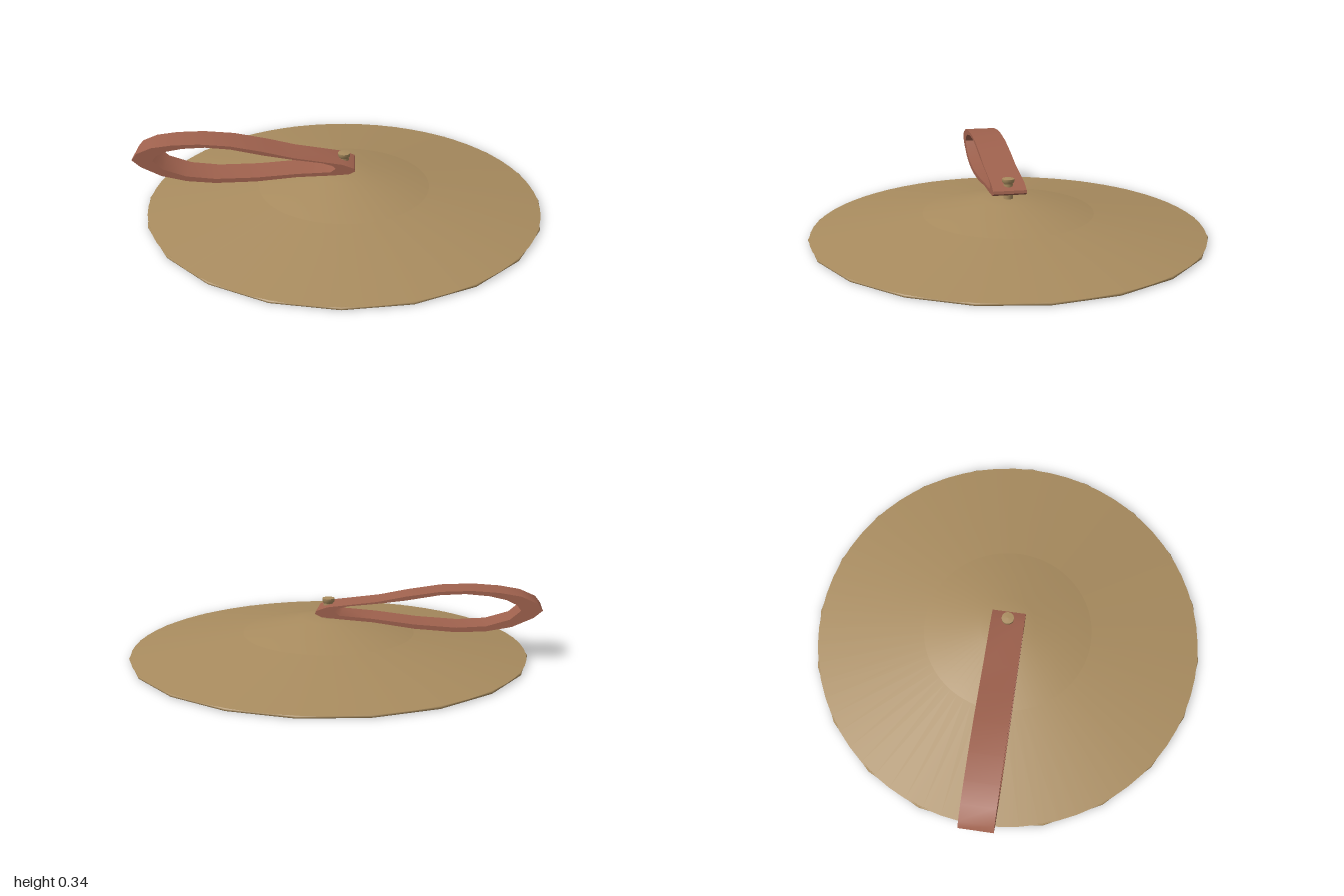
import * as THREE from 'three';
import { toCreasedNormals } from 'three/addons/utils/BufferGeometryUtils.js';

const CENTRE_X = 0.025;
const STRAP_WIDTH = 0.165;

const vectors = (pairs) => pairs.map(([x, y]) => new THREE.Vector2(x, y));

export function createModel() {
  const model = new THREE.Group();
  model.name = 'cymbal';
  const brass = new THREE.MeshStandardMaterial({ color: 0xa98c5f, side: THREE.DoubleSide });
  brass.name = 'brass';
  const leather = new THREE.MeshStandardMaterial({ color: 0xa0624e });
  leather.name = 'leather';

  // Turned brass piece on the cymbal's axis
  function turned(name, profile, sides, parent) {
    const mesh = new THREE.Mesh(new THREE.LatheGeometry(vectors(profile), sides), brass);
    mesh.name = name;
    mesh.position.x = CENTRE_X;
    parent.add(mesh);
  }

  // Plate: a thin hollow sheet, open below
  const plate = new THREE.Group();
  plate.name = 'plate';
  model.add(plate);
  turned('bow', [[0.965, 0.013], [0.42, 0.098]], 64, plate);
  turned('bell', [[0.42, 0.098], [0.137, 0.165], [0, 0.165]], 64, plate);

  // Coarse rounded bead whose corners show past the smooth edge
  const bead = new THREE.Mesh(new THREE.TorusGeometry(0.964, 0.007, 8, 20), brass);
  bead.name = 'rimBead';
  bead.rotation.x = Math.PI / 2;
  bead.position.set(CENTRE_X, 0.007, 0);
  plate.add(bead);

  // Stud holding the strap
  const stud = new THREE.Group();
  stud.name = 'stud';
  model.add(stud);
  turned('post', [[0.024, 0.16], [0.024, 0.24]], 20, stud);
  turned('head', [[0.018, 0.235], [0.03, 0.25], [0.03, 0.264]], 20, stud);
  turned('headTop', [[0.03, 0.264], [0, 0.266]], 20, stud);

  // Leather loop: side outline with a long opening, extruded across z
  const outline = new THREE.Shape(vectors([
    [-1, 0.254], [-0.975, 0.286], [-0.9, 0.318], [-0.8, 0.333], [-0.67, 0.339], [-0.52, 0.33],
    [-0.36, 0.302], [-0.22, 0.271], [0.02, 0.237], [0.076, 0.216], [0.08, 0.202], [0.05, 0.187],
    [-0.03, 0.18], [-0.2, 0.17], [-0.4, 0.145], [-0.6, 0.135], [-0.74, 0.144],
    [-0.86, 0.17], [-0.96, 0.218],
  ]));
  const opening = vectors([
    [-0.9, 0.25], [-0.88, 0.277], [-0.83, 0.3], [-0.75, 0.316], [-0.64, 0.323], [-0.52, 0.314],
    [-0.36, 0.283], [-0.22, 0.262], [-0.08, 0.245], [-0.03, 0.231], [-0.014, 0.216],
    [-0.04, 0.197], [-0.2, 0.187], [-0.4, 0.166], [-0.6, 0.157], [-0.74, 0.169], [-0.85, 0.205],
  ]);
  // The opening runs against the outline so its walls face inward
  outline.holes.push(new THREE.Path(opening.reverse()));
  const loop = new THREE.ExtrudeGeometry(outline, { depth: STRAP_WIDTH, bevelEnabled: false });
  loop.translate(0, 0, -STRAP_WIDTH / 2);
  const strap = new THREE.Mesh(toCreasedNormals(loop, 0.6), leather);
  strap.name = 'handStrap';
  model.add(strap);

  return model;
}
